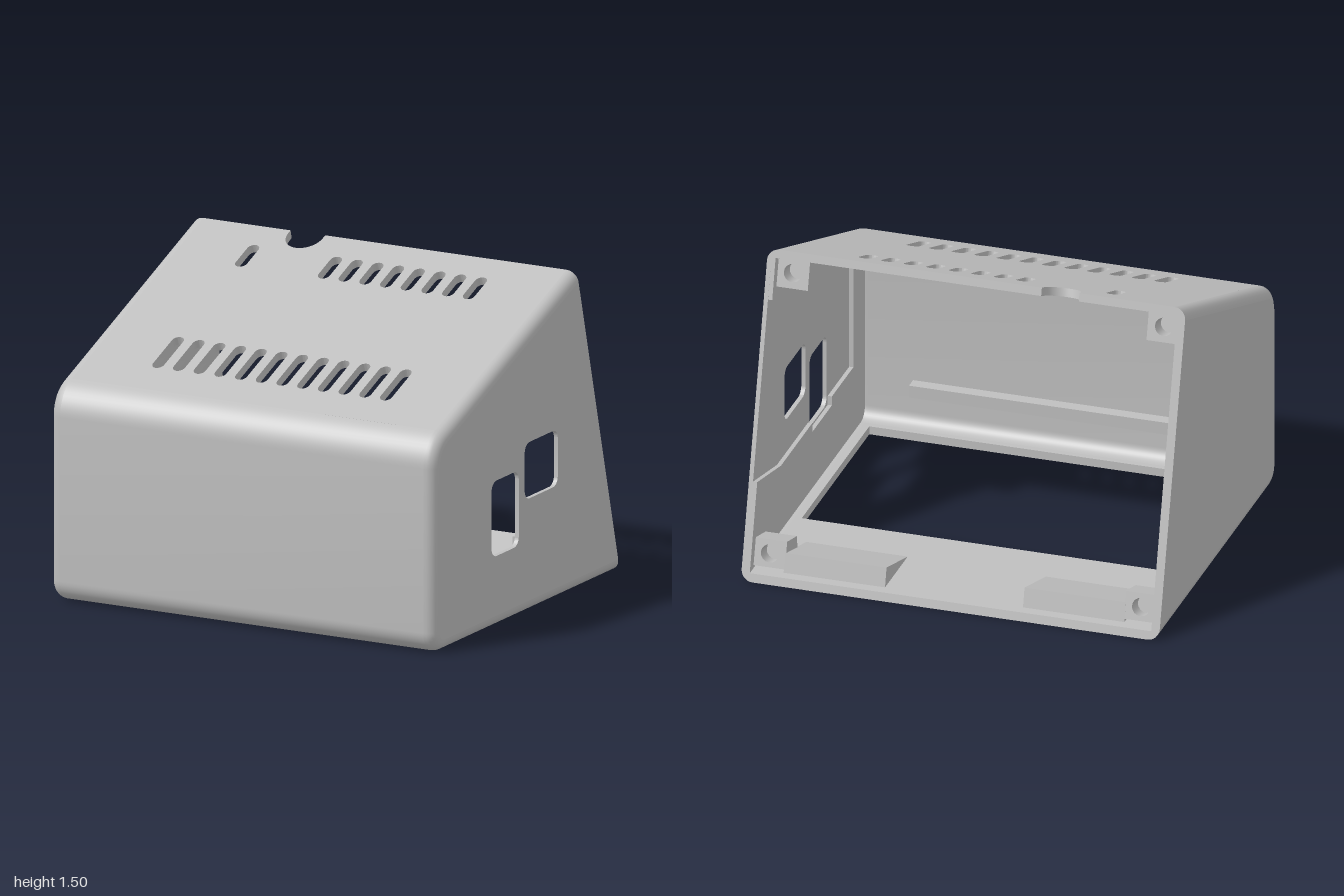
import * as THREE from 'three';
import { toCreasedNormals } from 'three/addons/utils/BufferGeometryUtils.js';

const WALL = 0.04, ROUND = 0.055, SIDE = 1 - ROUND;
const TILT = Math.atan2(0.4, 1.5);            // lean of the open back
const NZ = 0.357, NY = 0.934;                 // outward normal of the roof
const backZ = y => -0.87 + 0.2667 * y;
const roofY = z => (1.233 - NZ * z) / NY;

// Side outline as [z, y], inset by d, from back bottom round the front to back top
function profile(d) {
  const pts = [[backZ(d), d]];
  const arc = (cz, cy, r, a0, a1) => {
    for (let i = 0; i <= 10; i++) {
      const a = a0 + (a1 - a0) * i / 10;
      pts.push([cz + r * Math.cos(a), cy + r * Math.sin(a)]);
    }
  };
  arc(0.77, 0.1, 0.1 - d, -Math.PI / 2, 0);
  arc(0.7, 0.8705, 0.17 - d, 0, Math.atan2(NY, NZ));
  const top = (1.5436 - d) / 1.0292;
  pts.push([backZ(top), top]);
  return pts;
}

const finish = g => toCreasedNormals(g, 0.5);
const extrude = (shape, depth) =>
  new THREE.ExtrudeGeometry(shape, { depth, bevelEnabled: false, curveSegments: 8 });

// Prism of a [z, y] outline, running from x0 to x1
function sidePrism(pts, x0, x1, holes = []) {
  const shape = new THREE.Shape(pts.map(([z, y]) => new THREE.Vector2(-z, y)));
  shape.holes.push(...holes);
  return finish(extrude(shape, x1 - x0).rotateY(Math.PI / 2).translate(x0, 0, 0));
}

// Moves vertices that stick out of the back plane onto it
function trimBack(g) {
  const p = g.attributes.position;
  for (let i = 0; i < p.count; i++) p.setZ(i, Math.max(p.getZ(i), backZ(p.getY(i))));
  return finish(g);
}

function roundedRect(x0, y0, x1, y1, r) {
  const p = new THREE.Path();
  p.absarc(x1 - r, y1 - r, r, 0, Math.PI / 2);
  p.absarc(x0 + r, y1 - r, r, Math.PI / 2, Math.PI);
  p.absarc(x0 + r, y0 + r, r, Math.PI, Math.PI * 1.5);
  p.absarc(x1 - r, y0 + r, r, Math.PI * 1.5, Math.PI * 2);
  p.closePath();
  return p;
}

const rect = (x0, y0, x1, y1) => new THREE.Shape(
  [[x0, y0], [x1, y0], [x1, y1], [x0, y1]].map(p => new THREE.Vector2(...p)));

// Roof with vent slots and a cable notch at its back edge
function roofGeometry() {
  const s = new THREE.Shape();
  s.moveTo(-SIDE, -0.47);
  s.lineTo(-0.49, -0.47);
  s.lineTo(-0.49, -0.445);
  s.absarc(-0.4, -0.445, 0.09, Math.PI, 0, true);
  s.lineTo(-0.31, -0.47);
  s.lineTo(SIDE, -0.47);
  s.lineTo(SIDE, 0.7607);
  s.lineTo(-SIDE, 0.7607);
  s.closePath();
  for (let i = 0; i < 12; i++) {
    const x = -0.595 + i * 0.1077;
    s.holes.push(roundedRect(x - 0.029, 0.37, x + 0.029, 0.605, 0.0289));
    if (i === 0 || i > 3) s.holes.push(roundedRect(x - 0.029, -0.335, x + 0.029, -0.17, 0.0289));
  }
  const g = extrude(s, WALL), p = g.attributes.position;
  for (let i = 0; i < p.count; i++) {
    const z = p.getY(i), e = p.getZ(i);
    p.setXYZ(i, p.getX(i), roofY(z) - NY * e, z - NZ * e);
  }
  return trimBack(g);
}

// Floor with a large rectangular opening
function floorGeometry() {
  const s = rect(-SIDE, -0.77, SIDE, 0.87);
  s.holes.push(rect(-0.91, -0.74, 0.91, 0.25));
  return trimBack(extrude(s, WALL).rotateX(-Math.PI / 2));
}

// Rounded long edge joining a side wall to the floor, front and roof
function edgeGeometry(sign) {
  const section = [];
  for (let i = 0; i <= 6; i++) {
    const a = i / 6 * Math.PI / 2;
    section.push([SIDE + ROUND * Math.sin(a), ROUND * (1 - Math.cos(a))]);
  }
  section.push([1 - WALL, ROUND], [1 - WALL, WALL], [SIDE, WALL]);
  const n = section.length, pos = [], index = [];
  for (const [x, d] of section) for (const [z, y] of profile(d)) pos.push(sign * x, y, z);
  const m = pos.length / 3 / n;
  const tri = (a, b, c) => sign > 0 ? index.push(a, b, c) : index.push(a, c, b);
  for (let j = 0; j < n; j++) {
    const a = j * m, b = (j + 1) % n * m;
    for (let i = 0; i < m - 1; i++) {
      tri(a + i, b + i, a + i + 1);
      tri(b + i, b + i + 1, a + i + 1);
    }
    const hub = (n - 2) * m;                  // end caps fan from the inner corner
    if (a !== hub && b !== hub) {
      tri(hub, b, a);
      tri(hub + m - 1, a + m - 1, b + m - 1);
    }
  }
  const g = new THREE.BufferGeometry();
  g.setAttribute('position', new THREE.Float32BufferAttribute(pos, 3));
  g.setIndex(index);
  return finish(g.toNonIndexed());
}

// Screw post set square to the back, with a blind hole and a slanted inner end
function postGeometries(x0, x1, v0, v1, wallV) {
  const ring = rect(x0, v0, x1, v1);
  const hole = new THREE.Path();
  hole.absarc((x0 + x1) / 2, (v0 + v1) / 2, 0.043, 0, Math.PI * 2);
  ring.holes.push(hole);
  const front = extrude(ring, 0.09).translate(0, 0, 0.05);
  const end = extrude(rect(x0, v0, x1, v1), 0.11).translate(0, 0, 0.14);
  const p = end.attributes.position;
  for (let i = 0; i < p.count; i++)
    if (p.getZ(i) > 0.2) p.setZ(i, 0.25 - Math.abs(p.getY(i) - wallV) * 0.4);
  return [front, end].map(finish);
}

export function createModel() {
  const model = new THREE.Group();
  model.name = 'slopedEnclosure';
  const grey = new THREE.MeshStandardMaterial({ color: 0xbfbfbf });
  grey.name = 'lightGrey';
  const add = (name, geometry, parent = model) => {
    const mesh = new THREE.Mesh(geometry, grey);
    mesh.name = name;
    parent.add(mesh);
    return mesh;
  };

  add('roof', roofGeometry());
  add('floor', floorGeometry());

  // Front wall with its rounded top and bottom
  const bend = d => profile(d).slice(1, -1);
  add('frontWall', sidePrism([...bend(0), ...bend(WALL).reverse()], -SIDE, SIDE));
  add('frontRib', new THREE.BoxGeometry(1.46, 0.06, 0.07).translate(0, 0.23, 0.805));

  // Right wall is plain; left wall has two windows in a shallow inner pocket
  const outline = profile(ROUND);
  const windows = [
    roundedRect(-0.33, 0.335, -0.075, 0.69, 0.045),
    roundedRect(-0.02, 0.535, 0.29, 0.8, 0.045)];
  const pocket = [[-0.53, 1.27], [0.66, 0.96], [0.66, 0.37], [0.345, 0.37], [0.345, 0.325],
    [0.06, 0.325], [0.06, 0.37], [-0.4, 0.37], [-0.75, 0.45]];
  add('rightWall', sidePrism(outline, -1, -1 + WALL));
  add('leftWallOuter', sidePrism(outline, 0.98, 1, windows));
  add('leftWallInner', sidePrism([...outline, ...pocket], 1 - WALL, 0.98));

  // Rounded edges and floor wedges on both sides
  for (const sign of [1, -1]) {
    const side = sign > 0 ? 'left' : 'right';
    add(side + 'RoundedEdge', edgeGeometry(sign));
    const wedge = [[-0.81, 0.03], [-0.44, 0.03], [-0.785, 0.13]];
    add(side + 'FloorWedge', sidePrism(wedge, sign > 0 ? 0.33 : -0.815, sign > 0 ? 0.815 : -0.33));
  }

  // Four screw posts, laid out on the leaning back plane
  const posts = new THREE.Group();
  posts.name = 'screwPosts';
  posts.position.z = -0.87;
  posts.rotation.x = TILT;
  model.add(posts);
  for (const x0 of [0.81, -0.965])
    for (const [name, v0, v1, wallV] of [['lowerPost', 0.07, 0.2, 0.07], ['upperPost', 1.37, 1.515, 1.515]])
      for (const g of postGeometries(x0, x0 + 0.155, v0, v1, wallV)) add(name, g, posts);

  return model;
}
